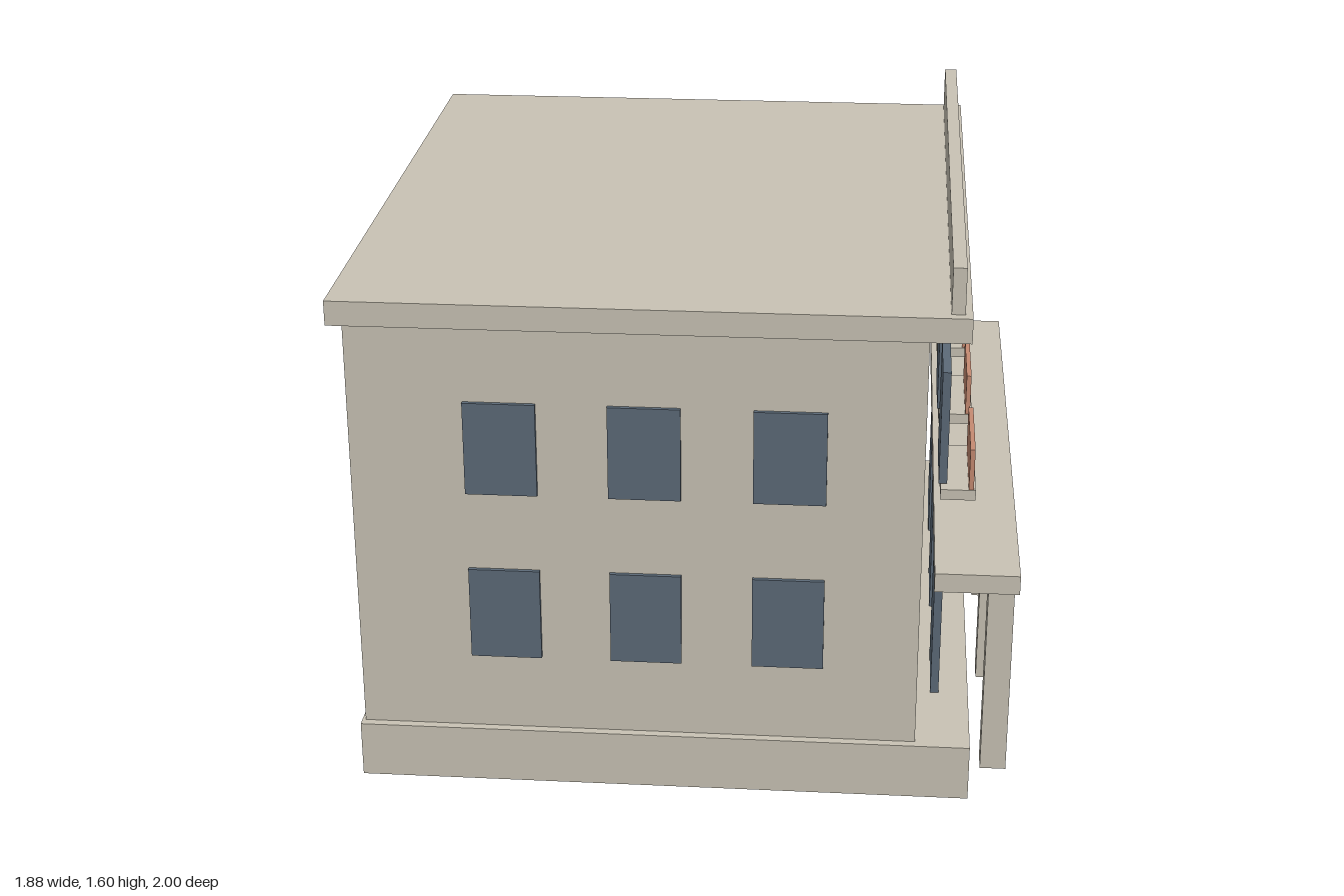
import * as THREE from 'three';

export function createModel() {
  const stone = new THREE.MeshStandardMaterial({ color: 0xc9c3b5 });
  stone.name = 'stone';
  const glass = new THREE.MeshStandardMaterial({ color: 0x5c6a78 });
  glass.name = 'window blue';
  const clay = new THREE.MeshStandardMaterial({ color: 0xc68b72 });
  clay.name = 'terracotta';

  const model = new THREE.Group();
  model.name = 'building';

  // Adds a box given its extents along each axis
  function box(name, mat, [x0, x1], [y0, y1], [z0, z1]) {
    const mesh = new THREE.Mesh(new THREE.BoxGeometry(x1 - x0, y1 - y0, z1 - z0), mat);
    mesh.position.set((x0 + x1) / 2, (y0 + y1) / 2, (z0 + z1) / 2);
    mesh.name = name;
    model.add(mesh);
  }
  const span = (centre, size) => [centre - size / 2, centre + size / 2];

  // Main masses
  box('plinth', stone, [-0.92, 0.823], [0, 0.165], [-0.98, 0.98]);
  box('walls', stone, [-0.91, 0.668], [0.165, 1.4], [-0.955, 0.955]);
  box('roofSlab', stone, [-0.945, 0.778], [1.4, 1.47], [-1, 1]);
  box('parapet', stone, [0.721, 0.758], [1.47, 1.6], [-0.97, 0.97]);

  // Two rows of windows on the front and back walls
  for (const x of [-0.491, -0.095, 0.303]) {
    for (const rows of [[0.395, 0.668], [0.9, 1.172]]) {
      box('frontWindow', glass, span(x, 0.2), rows, [0.95, 0.967]);
      box('backWindow', glass, span(x, 0.2), rows, [-0.967, -0.95]);
    }
  }

  // Street side: doors, upper windows and balconies
  for (const z of [-0.542, 0, 0.542]) {
    box('door', glass, [0.713, 0.737], [0.165, 0.55], span(z, 0.258));
    box('upperWindow', glass, [0.713, 0.737], [0.84, 1.18], span(z, 0.246));
    box('balconySlab', stone, [0.718, 0.818], [0.805, 0.836], span(z, 0.31));
    box('balconyRailing', clay, [0.798, 0.812], [0.836, 0.96], span(z, 0.302));
  }

  // Portico
  box('canopy', stone, [0.705, 0.94], [0.652, 0.708], [-0.97, 0.97]);
  for (const z of [-0.807, -0.273, 0.273, 0.807]) {
    box('column', stone, [0.86, 0.934], [0.02, 0.652], span(z, 0.073));
  }

  return model;
}
